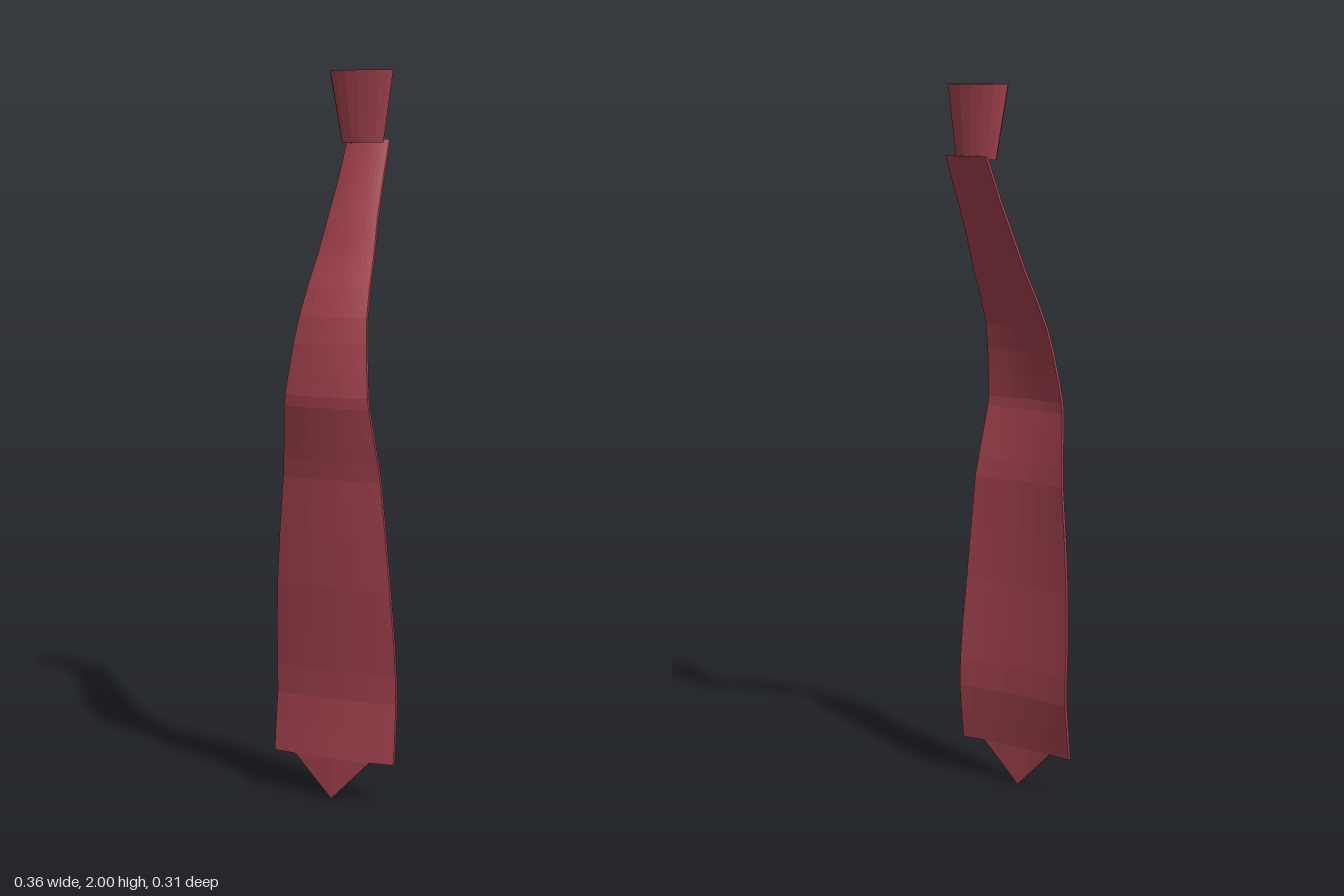
import * as THREE from 'three';

const red = new THREE.MeshStandardMaterial({ color: 0xa0404c });
red.name = 'dark red cloth';
red.side = THREE.DoubleSide;
red.flatShading = true;

// Blade profile from top to bottom: height, z of the front centre line, half width
const PROFILE = [
  [1.815, -0.133, 0.063], [1.7, -0.075, 0.067], [1.6, -0.022, 0.074], [1.5, 0.026, 0.083],
  [1.42, 0.073, 0.091], [1.34, 0.111, 0.099], [1.27, 0.131, 0.107], [1.2, 0.145, 0.114],
  [1.13, 0.157, 0.121], [1.1, 0.156, 0.124], [1.05, 0.147, 0.129], [0.95, 0.129, 0.139],
  [0.9, 0.122, 0.144], [0.75, 0.118, 0.157], [0.6, 0.112, 0.168], [0.45, 0.1, 0.176],
  [0.36, 0.093, 0.178], [0.28, 0.091, 0.179], [0.2, 0.1, 0.18], [0.115, 0.111, 0.18],
];
const COLUMNS = [-1, -0.8, -0.62, -0.4, -0.2, 0, 0.2, 0.4, 0.62, 0.8, 1];
const THICKNESS = 0.011;

// Curved cloth strip, ending in a shallow point between two square corners
function bladeGeometry() {
  const rows = [...PROFILE, [0, 0.111, 0.18]];
  const last = rows.length - 1;
  const n = COLUMNS.length;
  const positions = [];
  const indices = [];

  for (const back of [0, 1]) {
    rows.forEach(([y, z, half], r) => {
      for (const u of COLUMNS) {
        const height = r === last ? 0.115 * Math.min(1, Math.abs(u) / 0.62) : y;
        positions.push(u * half, height, z - 0.013 * u * u - back * THICKNESS);
      }
    });
  }

  const backStart = rows.length * n;
  const quad = (a, b, c, d) => indices.push(a, b, c, a, c, d);
  for (let r = 0; r < last; r++) {
    for (let c = 0; c < n - 1; c++) {
      // The point only reaches across the middle columns
      if (r === last - 1 && Math.abs(COLUMNS[c] + COLUMNS[c + 1]) > 1.3) continue;
      const a = r * n + c;
      quad(a, a + n, a + n + 1, a + 1);
      const b = a + backStart;
      quad(b, b + 1, b + n + 1, b + n);
    }
  }
  // Side edges
  for (let r = 0; r < last - 1; r++) {
    const left = r * n;
    const right = left + n - 1;
    quad(left, left + backStart, left + n + backStart, left + n);
    quad(right, right + n, right + n + backStart, right + backStart);
  }
  // Top edge and the square corners of the hem
  for (let c = 0; c < n - 1; c++) {
    quad(c, c + 1, c + 1 + backStart, c + backStart);
    if (Math.abs(COLUMNS[c] + COLUMNS[c + 1]) > 1.3) {
      const a = (last - 1) * n + c;
      quad(a, a + backStart, a + 1 + backStart, a + 1);
    }
  }

  const geometry = new THREE.BufferGeometry();
  geometry.setAttribute('position', new THREE.Float32BufferAttribute(positions, 3));
  geometry.setIndex(indices);
  geometry.computeVertexNormals();
  return geometry;
}

// Open, flattened cone whose back stays upright
function knotGeometry() {
  const geometry = new THREE.CylinderGeometry(1, 1, 1, 16, 1, true);
  const p = geometry.attributes.position;
  for (let i = 0; i < p.count; i++) {
    const top = p.getY(i) > 0;
    const [rx, rz, y, z] = top ? [0.094, 0.035, 2, -0.098] : [0.062, 0.027, 1.805, -0.106];
    p.setXYZ(i, p.getX(i) * rx, y, z + p.getZ(i) * rz);
  }
  geometry.computeVertexNormals();
  return geometry;
}

export function createModel() {
  const necktie = new THREE.Group();
  necktie.name = 'necktie';
  const addPart = (name, geometry) => {
    const mesh = new THREE.Mesh(geometry, red);
    mesh.name = name;
    necktie.add(mesh);
  };
  addPart('blade', bladeGeometry());
  addPart('knot', knotGeometry());
  return necktie;
}
